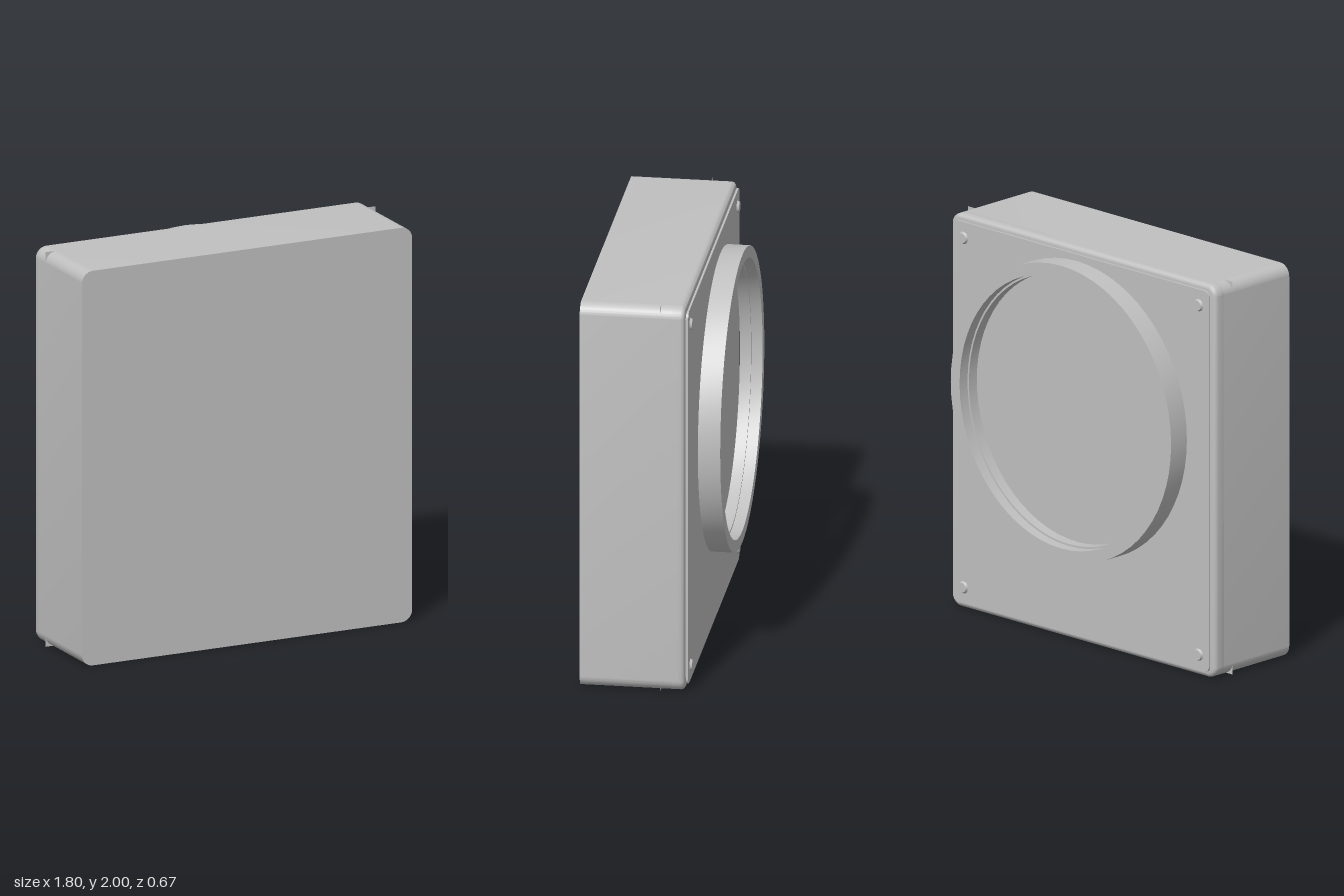
import * as THREE from 'three';
import { toCreasedNormals } from 'three/addons/utils/BufferGeometryUtils.js';

const CY = 1; // height of the housing centre

function roundedRect(w, h, r) {
  const x = w / 2, y = h / 2, s = new THREE.Shape();
  s.moveTo(-x + r, -y);
  s.lineTo(x - r, -y);
  s.absarc(x - r, -y + r, r, -Math.PI / 2, 0);
  s.lineTo(x, y - r);
  s.absarc(x - r, y - r, r, 0, Math.PI / 2);
  s.lineTo(-x + r, y);
  s.absarc(-x + r, y - r, r, Math.PI / 2, Math.PI);
  s.lineTo(-x, -y + r);
  s.absarc(-x + r, -y + r, r, Math.PI, Math.PI * 1.5);
  return s;
}

// Rounded slab between two depths, with an optional bevel on both faces
function slab(w, h, r, z0, z1, bevel = 0) {
  const geo = new THREE.ExtrudeGeometry(roundedRect(w - 2 * bevel, h - 2 * bevel, r - bevel), {
    depth: z1 - z0 - 2 * bevel, curveSegments: 8,
    bevelEnabled: bevel > 0, bevelSize: bevel, bevelThickness: bevel, bevelSegments: 3,
  });
  geo.translate(0, CY, z0 + bevel);
  return toCreasedNormals(geo, 0.6);
}

export function createModel() {
  const group = new THREE.Group();
  const grey = new THREE.MeshStandardMaterial({ color: 0xc0c0c0 });
  grey.name = 'light grey';
  grey.side = THREE.DoubleSide;

  const add = (name, geo) => {
    const mesh = new THREE.Mesh(geo, grey);
    mesh.name = name;
    group.add(mesh);
    return mesh;
  };

  // Housing with a flat front and a softened back rim
  add('housing', slab(1.8, 2, 0.06, -0.15, 0.335));
  add('backRim', slab(1.8, 2, 0.06, -0.18, -0.1, 0.02));

  // Thin square-cornered divider whose tips show at the rounded corners
  add('divider', new THREE.PlaneGeometry(1.8, 2)).position.set(0, CY, -0.06);

  // Back cover, raised slightly off the rim
  add('backCover', slab(1.74, 1.94, 0.03, -0.195, -0.185));
  add('coverSeal', slab(1.71, 1.91, 0.03, -0.188, -0.17));

  // Cover screws
  const screwGeo = new THREE.CylinderGeometry(0.025, 0.032, 0.014, 20);
  screwGeo.rotateX(-Math.PI / 2);
  for (const x of [-0.8, 0.8]) {
    for (const y of [0.11, 1.89]) add('coverScrew', screwGeo).position.set(x, y, -0.2);
  }

  // Collar ring standing off the back, with a shallow inner step
  const profile = [
    [0.68, 0], [0.75, 0], [0.75, 0.11], [0.69, 0.11], [0.69, 0.055], [0.68, 0.055], [0.68, 0],
  ].map(([r, y]) => new THREE.Vector2(r, y));
  const ringGeo = toCreasedNormals(new THREE.LatheGeometry(profile, 64), 0.6);
  ringGeo.rotateX(-Math.PI / 2);
  add('collarRing', ringGeo).position.set(0, 1.2, -0.225);

  return group;
}
